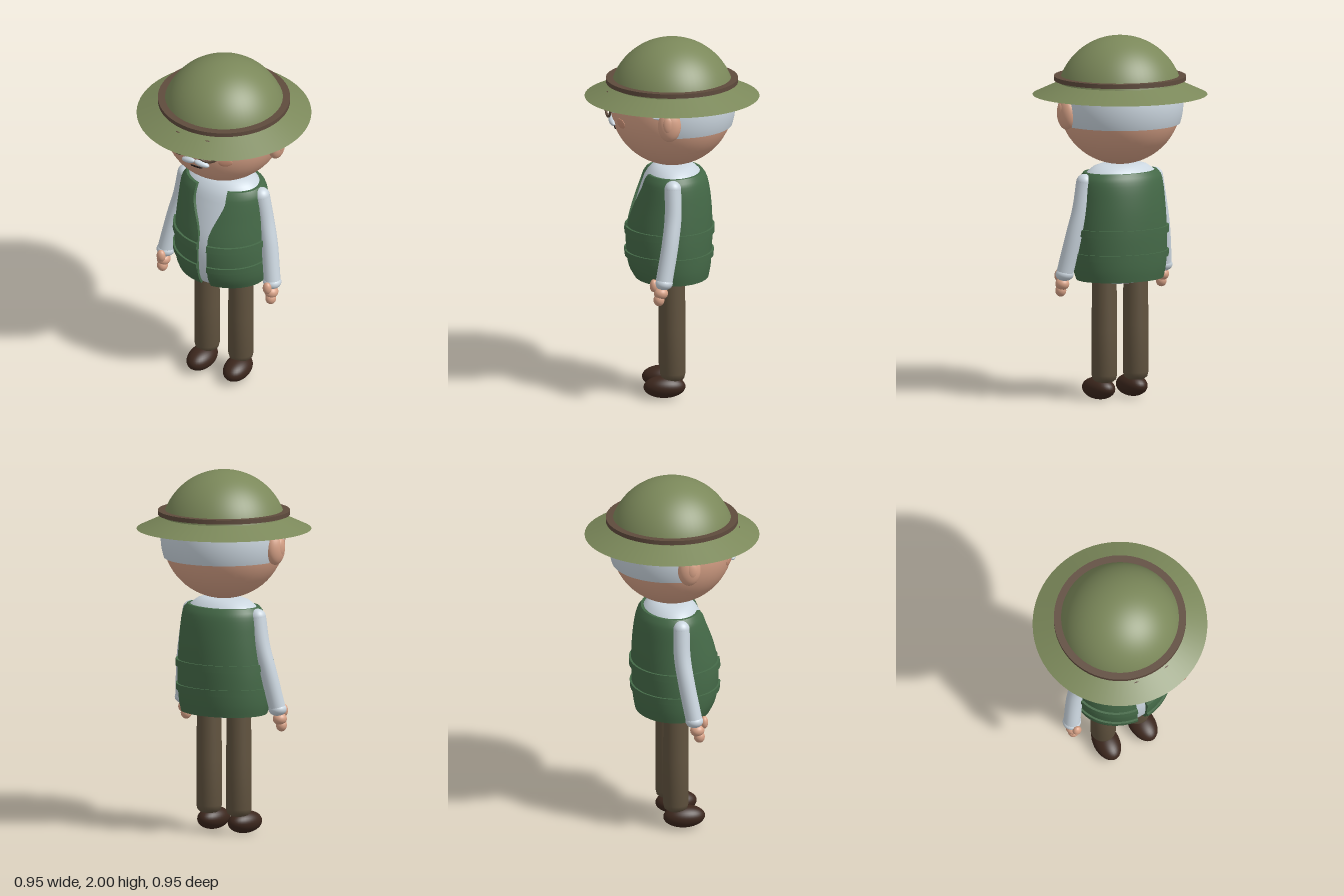
import * as THREE from 'three';
import { toCreasedNormals } from 'three/addons/utils/BufferGeometryUtils.js';

const material = (name, color, side = THREE.FrontSide) =>
  Object.assign(new THREE.MeshStandardMaterial({ color, side }), { name });

// Torso cross-sections: half width, front depth and back depth at each height
const heights = [0.665, 0.72, 0.85, 0.95, 1.1, 1.2, 1.235, 1.258];
const sections = new THREE.CubicInterpolant(heights, [
  0.255, 0.205, 0.2, 0.267, 0.235, 0.21, 0.274, 0.253, 0.219, 0.271, 0.247, 0.221,
  0.26, 0.21, 0.213, 0.249, 0.178, 0.197, 0.24, 0.165, 0.185, 0.22, 0.15, 0.168], 3);

function torsoPoint(theta, y, offset) {
  const [rx, front, back] = sections.evaluate(y);
  const c = Math.cos(theta);
  return [(rx + offset) * Math.sin(theta), y, ((c > 0 ? front : back) + offset) * c];
}

// Surface through a grid of points, columns u and rows v
function gridGeometry(columns, rows, point) {
  const positions = [], index = [];
  for (let u = 0; u <= columns; u++) for (let v = 0; v <= rows; v++) positions.push(...point(u, v));
  for (let u = 0; u < columns; u++) for (let v = 0; v < rows; v++) {
    const a = u * (rows + 1) + v, b = a + rows + 1;
    index.push(a, b, b + 1, a, b + 1, a + 1);
  }
  const g = new THREE.BufferGeometry();
  g.setAttribute('position', new THREE.Float32BufferAttribute(positions, 3));
  g.setIndex(index);
  return toCreasedNormals(g, 0.7);
}

// Half width of the vest opening at height y
const openingPoints = [[0.66, 0.03], [1.0, 0.03], [1.06, 0.048], [1.12, 0.075], [1.18, 0.098], [1.26, 0.096]];
function opening(y) {
  const i = Math.max(1, openingPoints.findIndex(p => p[0] >= y));
  const [y0, x0] = openingPoints[i - 1], [y1, x1] = openingPoints[i];
  return THREE.MathUtils.mapLinear(y, y0, y1, x0, x1);
}

// Thick shell around the torso, open at the front
function shell(y0, y1, n, offset, thick) {
  const columns = 66;
  return gridGeometry(columns, 2 * n + 2, (u, v) => {
    const row = v % (2 * n + 2);
    const inner = row > n;
    const k = inner ? 2 * n + 1 - row : row;
    const y = THREE.MathUtils.lerp(y0, y1, k / n);
    const end = u === 0 || u === columns;
    const start = Math.asin(opening(y) / (sections.evaluate(y)[0] + offset));
    const t = THREE.MathUtils.clamp((u - 1) / (columns - 2), 0, 1);
    const theta = THREE.MathUtils.lerp(start, 2 * Math.PI - start, t);
    return torsoPoint(theta, y, inner && !end ? offset - thick : offset);
  });
}

export function createModel() {
  const root = new THREE.Group();
  const hatGreen = material('hat green', 0x7b885a, THREE.DoubleSide);
  const leather = material('leather brown', 0x5f4b3d);
  const skin = material('skin', 0xd9a388);
  const blush = material('blush', 0xcf9479);
  const vestGreen = material('vest green', 0x456a48);
  const cloth = material('pale grey', 0xcbd6df, THREE.DoubleSide);
  const trouser = material('trouser brown', 0x61533f);
  const shoeBrown = material('shoe brown', 0x3c271d);
  const eyeWhite = material('eye white', 0xe6ebef);
  const dark = material('dark', 0x231c1a);

  const add = (name, geometry, mat, x = 0, y = 0, z = 0) => {
    const m = new THREE.Mesh(geometry, mat);
    m.name = name;
    m.position.set(x, y, z);
    root.add(m);
    return m;
  };
  const blob = (name, mat, x, y, z, rx, ry, rz) => {
    const m = add(name, new THREE.SphereGeometry(1, 32, 20), mat, x, y, z);
    m.scale.set(rx, ry, rz);
    return m;
  };
  const tube = (name, mat, points, r, segments = 24) => add(name, new THREE.TubeGeometry(
    new THREE.CatmullRomCurve3(points.map(p => new THREE.Vector3(...p))), segments, r, 20), mat);

  // Head and hair
  const headY = 1.63, headR = 0.335;
  add('head', new THREE.SphereGeometry(headR, 48, 32), skin, 0, headY, 0);
  add('hair', new THREE.SphereGeometry(0.346, 40, 12, Math.PI + 0.03, Math.PI - 0.06, 1.22, 0.675), cloth, 0, headY, 0);
  // Flat blob lying on the face, turned outwards
  const onHead = (name, mat, x, y, lift, rx, ry, rz) => {
    const dir = new THREE.Vector3(x, y - headY, Math.sqrt(headR ** 2 - x * x - (y - headY) ** 2)).normalize();
    const m = blob(name, mat, 0, 0, 0, rx, ry, rz);
    m.position.copy(dir).multiplyScalar(headR + lift).add(new THREE.Vector3(0, headY, 0));
    m.lookAt(m.position.clone().add(dir));
    return m;
  };
  onHead('mouth', dark, 0, 1.503, 0, 0.04, 0.006, 0.006);

  // Hat
  add('hatDome', new THREE.SphereGeometry(0.345, 64, 24, 0, 2 * Math.PI, 0, 1.325), hatGreen, 0, 1.655, 0);
  add('hatBand', new THREE.CylinderGeometry(0.361, 0.361, 0.024, 64), leather, 0, 1.768, 0);
  add('hatBrim', new THREE.CylinderGeometry(0.325, 0.477, 0.07, 64, 1, true), hatGreen, 0, 1.712, 0);

  // Shirt body, closed at top and bottom
  const layers = [[0.643, 0], [0.645, 0.5], [0.655, 0.75]];
  for (let i = 0; i <= 18; i++) layers.push([0.672 + 0.583 * i / 18, 1]);
  layers.push([1.272, 0.9], [1.288, 0.78], [1.298, 0.6], [1.3, 0]);
  add('shirt', gridGeometry(64, layers.length - 1, (u, v) => {
    const [y, s] = layers[v];
    const p = torsoPoint(u / 64 * 2 * Math.PI, THREE.MathUtils.clamp(y, 0.665, 1.258), -0.017);
    return [p[0] * s, y, p[2] * s];
  }), cloth);

  // Vest with two raised bands
  add('vest', shell(0.665, 1.258, 26, 0, 0.016), vestGreen);
  add('upperVestBand', shell(0.916, 0.953, 3, 0.012, 0.016), vestGreen);
  add('lowerVestBand', shell(0.783, 0.818, 3, 0.011, 0.016), vestGreen);

  // Bridge of the glasses
  tube('glassesBridge', leather, [[-0.022, 1.655, 0.36], [0, 1.664, 0.363], [0.022, 1.655, 0.36]], 0.006, 8);

  for (const s of [-1, 1]) {
    const side = s > 0 ? 'left' : 'right';

    // Face
    onHead(side + 'Eye', eyeWhite, s * 0.087, 1.652, 0, 0.047, 0.047, 0.014);
    onHead(side + 'Pupil', dark, s * 0.084, 1.652, 0.012, 0.019, 0.022, 0.005);
    onHead(side + 'EyeGlint', eyeWhite, s * 0.084 + 0.003, 1.65, 0.016, 0.006, 0.006, 0.003);
    onHead(side + 'Cheek', blush, s * 0.165, 1.565, 0, 0.038, 0.028, 0.006);
    const whisker = blob(side + 'Moustache', cloth, s * 0.041, 1.545, 0.327, 0.045, 0.017, 0.019);
    whisker.rotation.set(0, s * 0.15, -s * 0.2);

    // Glasses
    const rim = add(side + 'GlassesRim', new THREE.TorusGeometry(0.067, 0.007, 10, 40), leather, s * 0.09, 1.655, 0.354);
    rim.rotation.y = s * 0.18;
    tube(side + 'GlassesArm', leather, [[s * 0.158, 1.655, 0.342], [s * 0.19, 1.655, 0.31], [s * 0.22, 1.655, 0.255]], 0.006, 8);

    // Ear and sideburn
    blob(side + 'Ear', skin, s * 0.342, 1.597, 0.027, 0.043, 0.09, 0.063);
    blob(side + 'InnerEar', skin, s * 0.37, 1.605, 0.035, 0.018, 0.05, 0.03);
    const tuft = add(side + 'Sideburn', new THREE.ConeGeometry(0.024, 0.075, 16), cloth, s * 0.332, 1.637, 0.083);
    tuft.rotation.x = Math.PI / 2;

    // Arm and hand
    tube(side + 'Sleeve', cloth, [[s * 0.235, 1.21, 0.004], [s * 0.262, 1.06, 0.004],
      [s * 0.294, 0.92, 0.02], [s * 0.33, 0.715, 0.055]], 0.046, 32);
    blob(side + 'Shoulder', cloth, s * 0.235, 1.21, 0.004, 0.046, 0.046, 0.046);
    blob(side + 'Cuff', cloth, s * 0.331, 0.705, 0.057, 0.051, 0.037, 0.049);
    blob(side + 'Palm', skin, s * 0.335, 0.65, 0.073, 0.038, 0.034, 0.039);
    blob(side + 'Fingers', skin, s * 0.337, 0.613, 0.084, 0.03, 0.034, 0.03);
    blob(side + 'Thumb', skin, s * 0.33, 0.692, 0.112, 0.025, 0.036, 0.022);

    // Leg and shoe
    const leg = [[0, 0.095], [0.045, 0.1], [0.064, 0.115], [0.07, 0.14], [0.07, 0.4], [0.067, 0.66], [0, 0.665]];
    add(side + 'Leg', toCreasedNormals(new THREE.LatheGeometry(leg.map(p => new THREE.Vector2(...p)), 32), 0.9),
      trouser, s * 0.105, 0, 0);
    const shoe = blob(side + 'Shoe', shoeBrown, s * 0.111, 0.0615, 0.045, 0.072, 0.0615, 0.115);
    shoe.rotation.y = s * 0.05;
  }
  return root;
}
